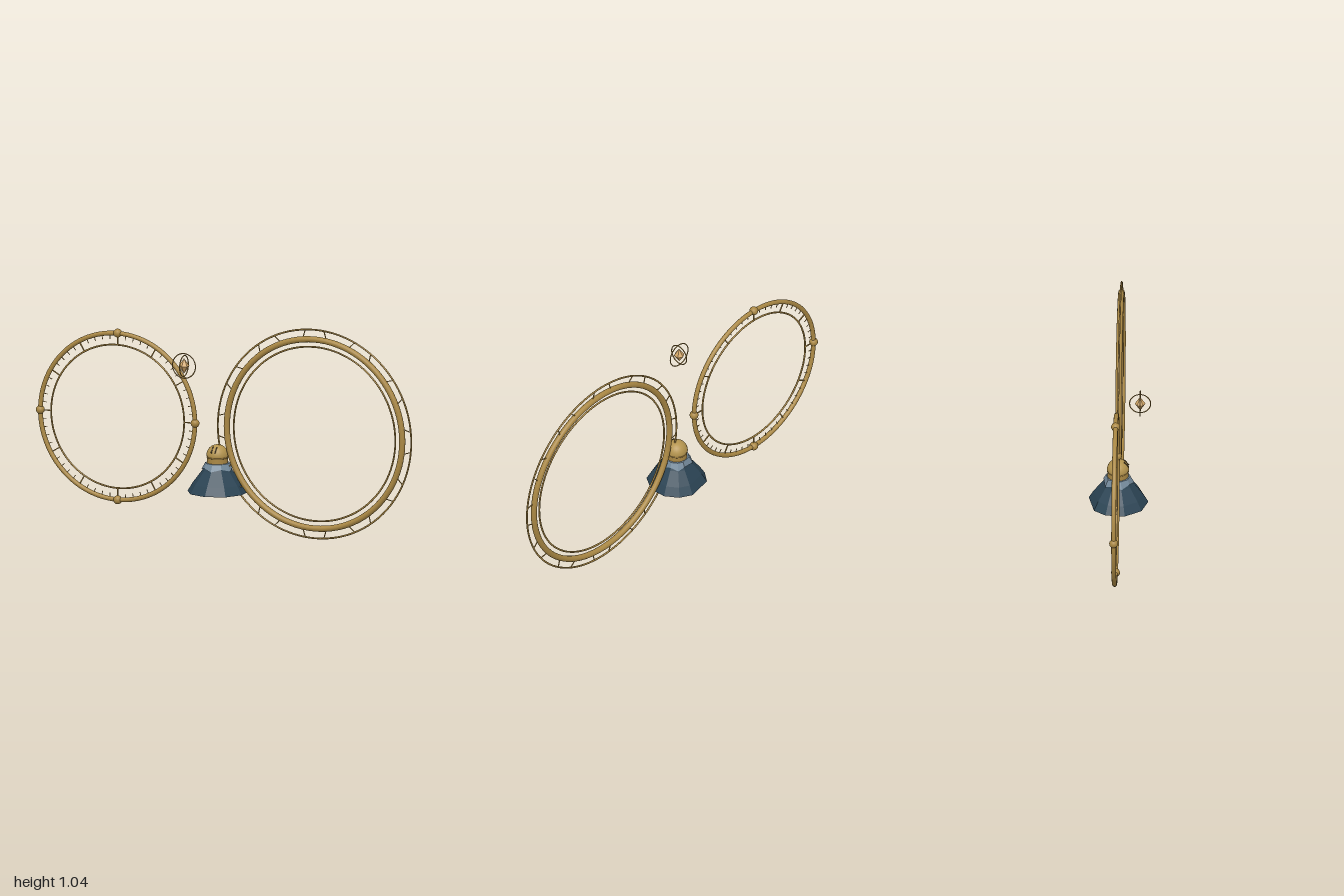
import * as THREE from 'three';

const mat = (name, color, extra = {}) => {
  const m = new THREE.MeshStandardMaterial({ color, ...extra });
  m.name = name;
  return m;
};

export function createModel() {
  const brass = mat('brass', 0xaa8844);
  const paleBrass = mat('paleBrass', 0xb4944e);
  const bronze = mat('darkBronze', 0x5c4a2a);
  const gemMat = mat('paleGold', 0xd4a868, { flatShading: true });
  const cloth = mat('slateBlue', 0x2b4454, { flatShading: true, side: THREE.DoubleSide });
  const trim = mat('greyBlue', 0x73899a, { flatShading: true, side: THREE.DoubleSide });

  const model = new THREE.Group();
  model.name = 'ringsAndBell';

  const group = (name, x, y, z) => {
    const g = new THREE.Group();
    g.name = name;
    g.position.set(x, y, z);
    model.add(g);
    return g;
  };
  const add = (parent, name, geometry, material, x = 0, y = 0, z = 0) => {
    const m = new THREE.Mesh(geometry, material);
    m.name = name;
    m.position.set(x, y, z);
    parent.add(m);
    return m;
  };
  const ring = (parent, name, r, tube, sides = 8) =>
    add(parent, name, new THREE.TorusGeometry(r, tube, sides, 96), brass);
  // Thin bar between two polar points; twist slants the outer end
  const spoke = (parent, name, angle, r0, r1, width, twist = 0) => {
    const a = new THREE.Vector2(r0 * Math.cos(angle), r0 * Math.sin(angle));
    const b = new THREE.Vector2(r1 * Math.cos(angle + twist), r1 * Math.sin(angle + twist));
    const d = b.clone().sub(a);
    const bar = add(parent, name, new THREE.BoxGeometry(d.length(), width, width), brass,
      (a.x + b.x) / 2, (a.y + b.y) / 2, 0);
    bar.rotation.z = d.angle();
  };

  // Smaller ring: dial with graduations and four beads
  const dial = group('dialRing', -0.568, 0.521, -0.01);
  ring(dial, 'dialOuterRing', 0.411, 0.0115, 12);
  ring(dial, 'dialInnerRing', 0.354, 0.0045);
  for (let i = 0; i < 60; i++) {
    const long = i % 5 === 0;
    spoke(dial, long ? 'longTick' : 'shortTick', i * Math.PI / 30, long ? 0.354 : 0.382, 0.405, long ? 0.005 : 0.003);
  }
  for (let i = 0; i < 4; i++) {
    const a = i * Math.PI / 2;
    add(dial, 'bead', new THREE.SphereGeometry(0.0215, 16, 12), brass, 0.412 * Math.cos(a), 0.412 * Math.sin(a), 0);
  }

  // Larger ring: thick hoop between two wire hoops
  const hoop = group('largeRing', 0.48, 0.521, -0.01);
  ring(hoop, 'mainHoop', 0.467, 0.015, 12);
  ring(hoop, 'outerWire', 0.515, 0.0045);
  ring(hoop, 'innerWire', 0.43, 0.0045);
  for (let i = 0; i < 24; i++) spoke(hoop, 'hoopSpoke', (i + 0.5) * Math.PI / 12, 0.475, 0.515, 0.004, i % 2 ? 0.035 : -0.035);

  // Flared bell with uneven panels and a domed cap
  const bell = group('bell', -0.037, 0, -0.01);
  const panelAngles = [0, 40, 77, 110, 140, 166, 219, 247, 284, 322, 360];
  const panelled = (pts) => {
    const g = new THREE.LatheGeometry(pts.map(([r, y]) => new THREE.Vector2(r, y)), panelAngles.length - 1);
    const p = g.attributes.position;
    for (let i = 0; i < p.count; i++) {
      const r = Math.hypot(p.getX(i), p.getZ(i));
      const a = THREE.MathUtils.degToRad(panelAngles[Math.floor(i / pts.length)]);
      p.setXYZ(i, r * Math.sin(a), p.getY(i), r * Math.cos(a));
    }
    return g;
  };
  add(bell, 'skirt', panelled([[0.147, 0.193], [0.122, 0.235], [0.075, 0.298], [0.056, 0.332]]), cloth);
  // Collar with an alternating lower edge
  const collar = panelled([[0.079, 0.302], [0.06, 0.337], [0.04, 0.338]]);
  const p = collar.attributes.position;
  for (let i = 3; i < p.count; i += 6) p.setXYZ(i, p.getX(i) * 0.92, 0.314, p.getZ(i) * 0.92);
  add(bell, 'collar', collar, trim);
  add(bell, 'neck', new THREE.CylinderGeometry(0.051, 0.051, 0.045, 24), brass, 0, 0.354, 0);
  const band = add(bell, 'neckBand', new THREE.TorusGeometry(0.05, 0.003, 6, 32), brass, 0, 0.364, 0);
  band.rotation.x = Math.PI / 2;
  add(bell, 'dome', new THREE.SphereGeometry(0.054, 24, 10, 0, Math.PI * 2, 0, Math.PI / 2), paleBrass, 0, 0.373, 0);
  const underside = add(bell, 'domeBase', new THREE.CircleGeometry(0.054, 24), paleBrass, 0, 0.373, 0);
  underside.rotation.x = Math.PI / 2;
  // Slots on the front of the dome
  for (const x of [-0.01, 0.01]) {
    const slot = add(bell, 'domeSlot', new THREE.BoxGeometry(0.005, 0.034, 0.006), bronze, x, 0.406, 0.041);
    slot.rotation.x = -0.7;
  }

  // Floating gem inside two crossed wire rings
  const charm = group('gemCharm', -0.165, 0.824, 0.1);
  add(charm, 'gemTop', new THREE.ConeGeometry(0.026, 0.038, 6), gemMat, 0, 0.019, 0);
  add(charm, 'gemBottom', new THREE.ConeGeometry(0.026, 0.038, 6), gemMat, 0, -0.019, 0).rotation.x = Math.PI;
  const small = (name, r) => add(charm, name, new THREE.TorusGeometry(r, 0.0028, 6, 40), brass);
  small('frontWireRing', 0.061);
  small('sideWireRing', 0.051).rotation.y = Math.PI / 2;

  return model;
}
